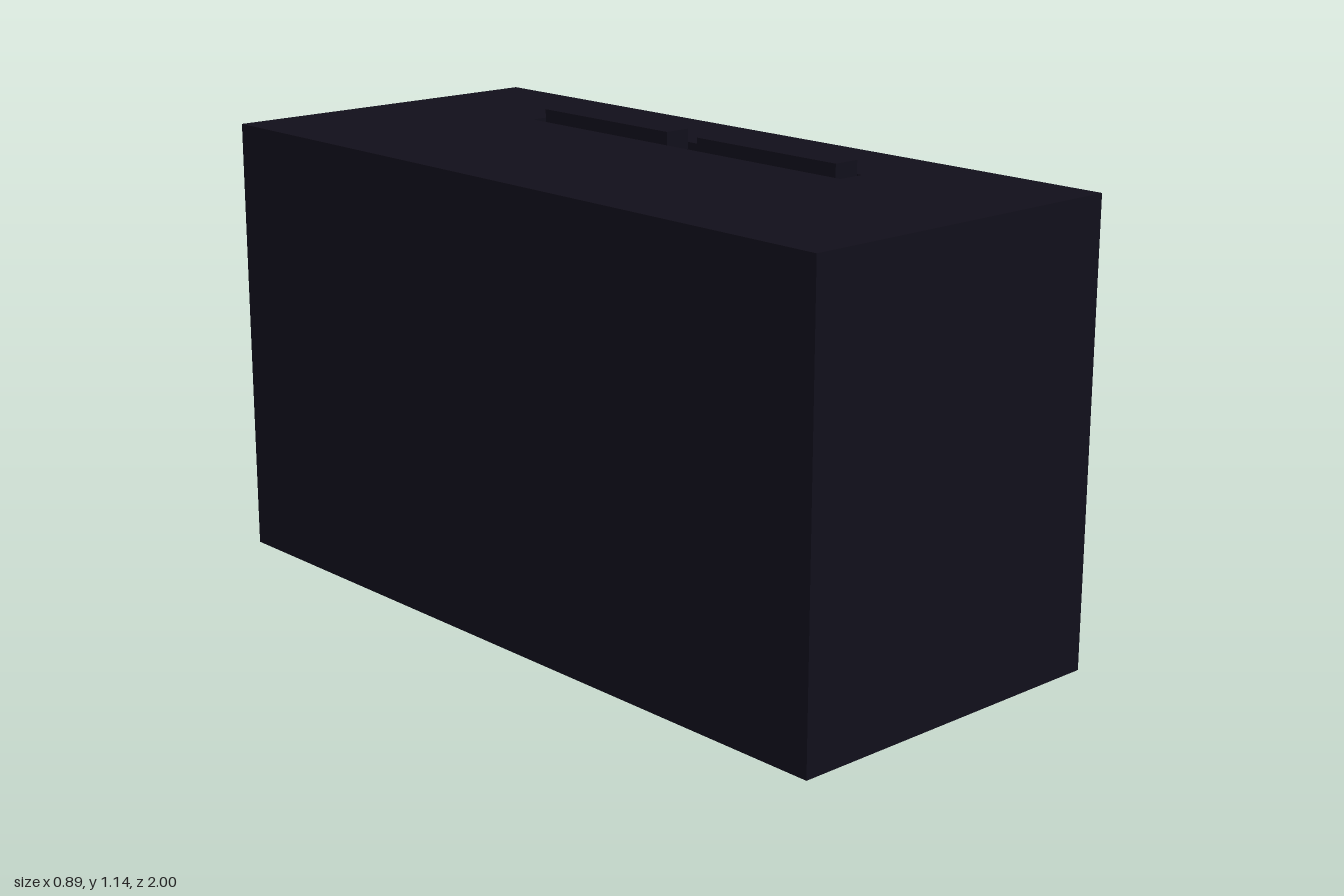
import * as THREE from 'three';

const W = 0.89, H = 1.11, D = 2;
const shell = new THREE.MeshStandardMaterial({ color: 0x110f1b });
const glass = new THREE.MeshStandardMaterial({ color: 0x141414 });

function add(parent, name, geometry, material, x = 0, y = 0, z = 0) {
  const mesh = new THREE.Mesh(geometry, material);
  mesh.name = name;
  mesh.position.set(x, y, z);
  parent.add(mesh);
  return mesh;
}

// A face at z = 0 stepping through nested rectangles [left, bottom, right, top, z]
function steppedFace(rects) {
  const loops = rects.map(([l, b, r, t, z]) => [[l, b, z], [r, b, z], [r, t, z], [l, t, z]]);
  const pos = [];
  const quad = (a, b, c, d) => pos.push(...a, ...b, ...c, ...a, ...c, ...d);
  for (let i = 0; i + 1 < loops.length; i++) {
    const outer = loops[i], inner = loops[i + 1];
    for (let k = 0; k < 4; k++) {
      const n = (k + 1) % 4;
      quad(outer[k], outer[n], inner[n], inner[k]);
    }
  }
  const geometry = new THREE.BufferGeometry();
  geometry.setAttribute('position', new THREE.Float32BufferAttribute(pos, 3));
  geometry.computeVertexNormals();
  return geometry;
}

export function createModel() {
  const model = new THREE.Group();
  model.name = 'cabinet';

  // Plain walls: front, back, left-hand blank side and base
  add(model, 'frontWall', new THREE.PlaneGeometry(W, H), shell, 0, H / 2, D / 2);
  add(model, 'backWall', new THREE.PlaneGeometry(W, H), shell, 0, H / 2, -D / 2).rotation.y = Math.PI;
  add(model, 'blankSide', new THREE.PlaneGeometry(D, H), shell, -W / 2, H / 2, 0).rotation.y = -Math.PI / 2;
  add(model, 'base', new THREE.PlaneGeometry(W, D), shell).rotation.x = Math.PI / 2;

  // Screen side: a sloping bezel, then a small straight step down to the screen
  add(model, 'bezel', steppedFace([
    [-1, 0, 1, H, 0],
    [-0.89, 0.13, 0.87, 0.99, 0],
    [-0.78, 0.21, 0.765, 0.91, -0.035],
    [-0.78, 0.21, 0.765, 0.91, -0.06],
  ]), shell, W / 2).rotation.y = Math.PI / 2;
  add(model, 'screen', new THREE.PlaneGeometry(1.545, 0.7), glass,
    W / 2 - 0.06, 0.56, 0.0075).rotation.y = Math.PI / 2;

  // Top with a shallow slot holding two raised bars
  add(model, 'top', steppedFace([
    [-W / 2, -1, W / 2, 1, 0],
    [0.14, -0.51, 0.21, 0.56, 0],
    [0.14, -0.51, 0.21, 0.56, -0.02],
  ]), shell, 0, H).rotation.x = -Math.PI / 2;
  add(model, 'slotFloor', new THREE.PlaneGeometry(0.07, 1.07), shell,
    0.175, H - 0.02, -0.025).rotation.x = -Math.PI / 2;
  for (const [name, z] of [['frontBar', 0.27], ['backBar', -0.285]]) {
    add(model, name, new THREE.BoxGeometry(0.07, 0.05, 0.45), shell, 0.175, H + 0.005 + 0.0025, z);
  }
  return model;
}
